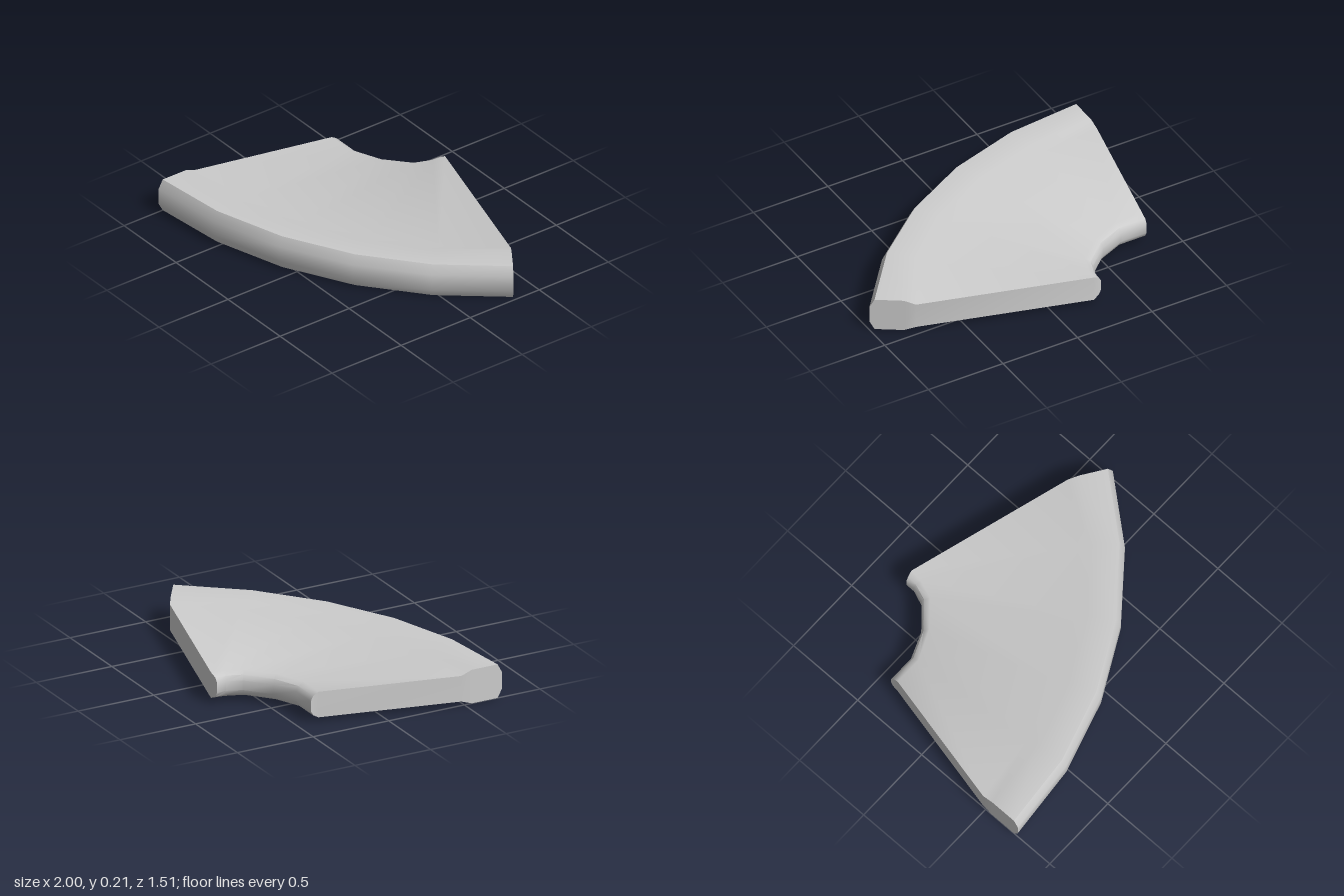
import * as THREE from 'three';
import { toCreasedNormals } from 'three/addons/utils/BufferGeometryUtils.js';

const HEIGHT = 0.21;
const STATIONS = 6;

// Rim arc: [radius, height] around a shared centre, outside to inside
const CENTRE = [-1, -1.65];
const STEP = Math.PI / 16;
const RIM = [[2.4, 0.155], [2.37, HEIGHT], [2.2, HEIGHT], [2.13, 0.185]];

// Inner notch in plan [x, z]: edge of the flat slab and the wall
const LIP = [[-0.81, -0.36], [-0.63, -0.36], [-0.45, -0.44], [-0.3, -0.57], [-0.26, -0.68], [-0.25, -0.76]];
const WALL = [[-0.81, -0.41], [-0.64, -0.41], [-0.48, -0.475], [-0.34, -0.6], [-0.305, -0.69], [-0.305, -0.75]];
const NOTCH = [[0, 0.185], [0.7, 0.165], [1, 0.135]]; // [blend from lip to wall, height]

// Closed cross-section: upper half outside to inside, then mirrored below
function section(j) {
  const a = j * STEP;
  const top = RIM.map(([r, y]) =>
    new THREE.Vector3(CENTRE[0] + r * Math.sin(a), y, CENTRE[1] + r * Math.cos(a)));
  for (const [t, y] of NOTCH) {
    top.push(new THREE.Vector3(
      THREE.MathUtils.lerp(LIP[j][0], WALL[j][0], t), y,
      THREE.MathUtils.lerp(LIP[j][1], WALL[j][1], t)));
  }
  const bottom = top.map(p => new THREE.Vector3(p.x, HEIGHT - p.y, p.z)).reverse();
  return [...top, ...bottom];
}

function wedgeGeometry() {
  const loops = Array.from({ length: STATIONS }, (_, j) => section(j));
  const n = loops[0].length;
  const positions = [];
  const quad = (a, b, c, d) => {
    for (const p of [a, b, c, a, c, d]) positions.push(p.x, p.y, p.z);
  };

  // Skin between neighbouring sections
  for (let j = 0; j < STATIONS - 1; j++) {
    for (let k = 0; k < n; k++) {
      const m = (k + 1) % n;
      quad(loops[j][k], loops[j + 1][k], loops[j + 1][m], loops[j][m]);
    }
  }

  // Upright end faces, which bend where the rim meets the slab
  const first = loops[0], last = loops[STATIONS - 1];
  for (let k = 0; k < n / 2 - 1; k++) {
    const u = n - 1 - k;
    quad(first[k], first[k + 1], first[u - 1], first[u]);
    quad(last[k + 1], last[k], last[u], last[u - 1]);
  }

  const geometry = new THREE.BufferGeometry();
  geometry.setAttribute('position', new THREE.Float32BufferAttribute(positions, 3));
  return toCreasedNormals(geometry, 0.6);
}

export function createModel() {
  const group = new THREE.Group();
  group.name = 'curvedWedge';
  const slab = new THREE.Mesh(wedgeGeometry(), new THREE.MeshStandardMaterial({ color: 0xcccccc }));
  slab.name = 'rimmedSlab';
  group.add(slab);
  return group;
}
